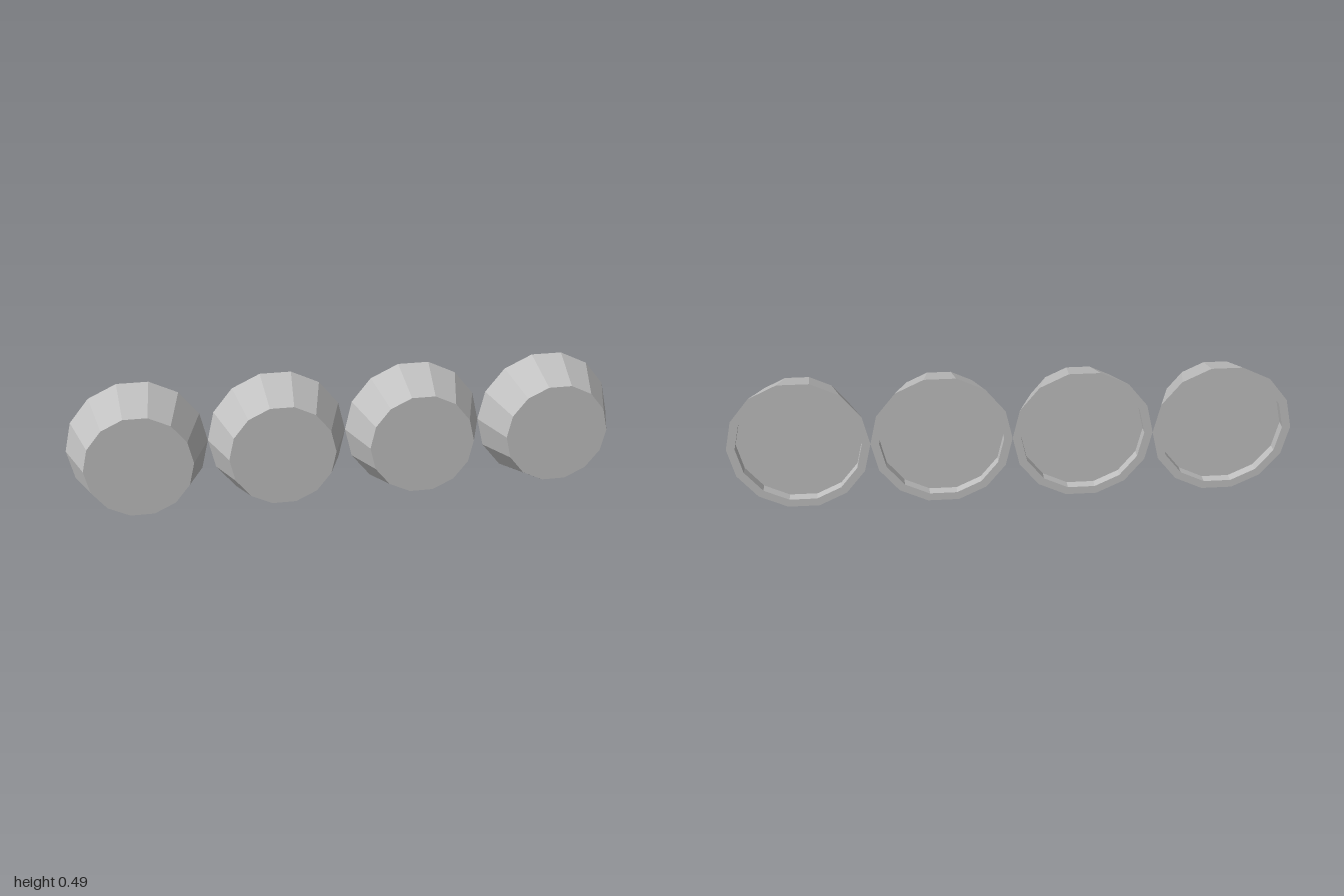
import * as THREE from 'three';

const SIDES = 14;
const COUNT = 4;
const RADIUS = 0.25;
const HALF_DEPTH = 0.0865;

export function createModel() {
  const model = new THREE.Group();
  model.name = 'knobRow';

  const grey = new THREE.MeshStandardMaterial({ color: 0xc0c0c0 });
  grey.name = 'grey';

  // Tapered knob: recessed back, flat rim, sloping side, flat front
  const profile = [
    [0, -HALF_DEPTH + 0.035],
    [0.22, -HALF_DEPTH + 0.035],
    [0.22, -HALF_DEPTH],
    [RADIUS, -HALF_DEPTH],
    [0.189, HALF_DEPTH],
    [0, HALF_DEPTH],
  ].map(([r, y]) => new THREE.Vector2(r, y));

  // Corners point sideways; the lathe axis is turned to face +z
  const knob = new THREE.LatheGeometry(profile, SIDES, Math.PI / 2)
    .rotateX(Math.PI / 2)
    .toNonIndexed();
  knob.computeVertexNormals(); // flat facets

  // Four knobs side by side, touching at their rims
  for (let i = 0; i < COUNT; i++) {
    const mesh = new THREE.Mesh(knob, grey);
    mesh.name = `knob${i + 1}`;
    mesh.position.set((i - (COUNT - 1) / 2) * 2 * RADIUS, 0.247, 0);
    model.add(mesh);
  }
  return model;
}
